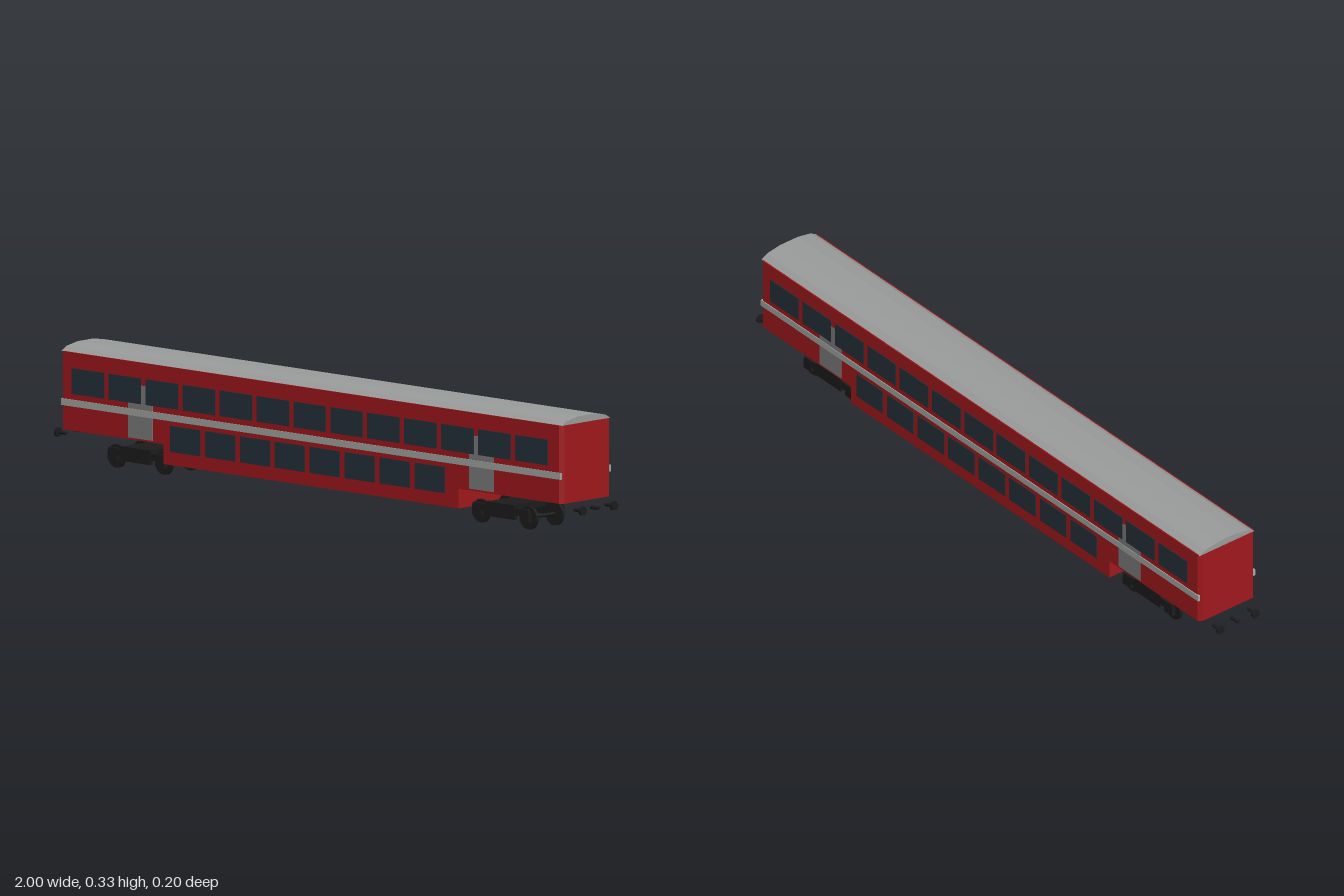
import * as THREE from 'three';

const mat = (color) => new THREE.MeshStandardMaterial({ color, flatShading: true });

export function createModel() {
  const red = mat(0xa0181c), glass = mat(0x25313a), roofGrey = mat(0x9a9c9c);
  const stripeGrey = mat(0xa3a6a3), doorGrey = mat(0x7c7c7c), black = mat(0x1c1c1c);
  const car = new THREE.Group();
  car.name = 'doubleDeckCoach';

  const add = (parent, name, geo, material, x = 0, y = 0, z = 0) => {
    const mesh = new THREE.Mesh(geo, material);
    mesh.name = name;
    mesh.position.set(x, y, z);
    parent.add(mesh);
    return mesh;
  };
  // box given by its limits
  const box = (parent, name, material, x0, x1, y0, y1, z0, z1) =>
    add(parent, name, new THREE.BoxGeometry(x1 - x0, y1 - y0, z1 - z0), material,
      (x0 + x1) / 2, (y0 + y1) / 2, (z0 + z1) / 2);
  const shape = (pts) => new THREE.Shape(pts.map(([x, y]) => new THREE.Vector2(x, y)));

  // upper body: plan outline with chamfered corners, extruded upwards
  const L = 0.952, W = 0.1, cx = 0.01, cz = 0.01;
  const plan = shape([[L, -W + cz], [L, W - cz], [L - cx, W], [-L + cx, W],
    [-L, W - cz], [-L, -W + cz], [-L + cx, -W], [L - cx, -W]]);
  const bodyGeo = new THREE.ExtrudeGeometry(plan, { depth: 0.219, bevelEnabled: false });
  bodyGeo.rotateX(-Math.PI / 2);
  add(car, 'upperBody', bodyGeo, red, 0, 0.095, 0);

  // lower deck between the bogies
  box(car, 'lowerBody', red, -0.56, 0.56, 0.04, 0.096, -W, W);

  // faceted roof
  const roofGeo = new THREE.ExtrudeGeometry(shape([[-0.098, 0.313], [0.098, 0.313], [0.078, 0.325],
    [0.032, 0.333], [-0.032, 0.333], [-0.078, 0.325]]), { depth: 1.9, bevelEnabled: false });
  roofGeo.translate(0, 0, -0.95).rotateY(Math.PI / 2);
  add(car, 'roof', roofGeo, roofGrey);

  // side details, repeated on the other side by a half turn
  for (const [name, turn] of [['frontSide', 0], ['backSide', Math.PI]]) {
    const side = new THREE.Group();
    side.name = name;
    side.rotation.y = turn;
    car.add(side);
    for (let i = 0; i < 13; i++) {
      const x = -0.846 + i * 0.1403;
      box(side, 'upperWindow', glass, x - 0.0615, x + 0.0615, 0.198, 0.27, 0.095, 0.102);
    }
    for (let i = 0; i < 8; i++) {
      const x = -0.477 + i * 0.1325;
      box(side, 'lowerWindow', glass, x - 0.057, x + 0.057, 0.077, 0.15, 0.095, 0.102);
    }
    for (const x of [-0.648, 0.648])
      box(side, 'door', doorGrey, x - 0.047, x + 0.047, 0.1, 0.25, 0.095, 0.101);
    box(side, 'stripe', stripeGrey, -0.948, 0.948, 0.163, 0.182, 0.095, 0.1025);
  }

  const wheelGeo = new THREE.CylinderGeometry(0.033, 0.033, 0.008, 20).rotateX(Math.PI / 2);
  const axleGeo = new THREE.CylinderGeometry(0.005, 0.005, 0.13, 10).rotateX(Math.PI / 2);
  const discGeo = new THREE.CylinderGeometry(0.013, 0.013, 0.008, 16).rotateZ(Math.PI / 2);
  const rodGeo = new THREE.CylinderGeometry(0.005, 0.005, 0.03, 10).rotateZ(Math.PI / 2);

  for (const end of [-1, 1]) {
    // bogie
    const bogie = new THREE.Group();
    bogie.name = 'bogie';
    bogie.position.x = end * 0.692;
    car.add(bogie);
    box(bogie, 'bolster', black, -0.05, 0.05, 0.048, 0.066, -0.07, 0.07);
    for (const s of [-1, 1]) {
      const z = s * 0.067;
      box(bogie, 'sideFrame', black, -0.105, 0.105, 0.038, 0.058, z - 0.005, z + 0.005);
      box(bogie, 'frameCentre', black, -0.055, 0.055, 0.025, 0.066, z - 0.006, z + 0.006);
      for (const w of [-0.09, 0.09]) {
        add(bogie, 'wheel', wheelGeo, black, w, 0.033, s * 0.052);
        box(bogie, 'axleBox', black, w - 0.017, w + 0.017, 0.023, 0.05, z - 0.006, z + 0.006);
      }
    }
    for (const w of [-0.09, 0.09]) add(bogie, 'axle', axleGeo, black, w, 0.033, 0);

    // buffers and coupling rod
    for (const z of [-0.063, 0.063]) {
      add(car, 'bufferDisc', discGeo, black, end * 0.996, 0.077, z);
      add(car, 'bufferRod', rodGeo, black, end * 0.98, 0.077, z);
    }
    add(car, 'couplingRod', rodGeo, black, end * 0.983, 0.077, 0);
  }
  return car;
}
